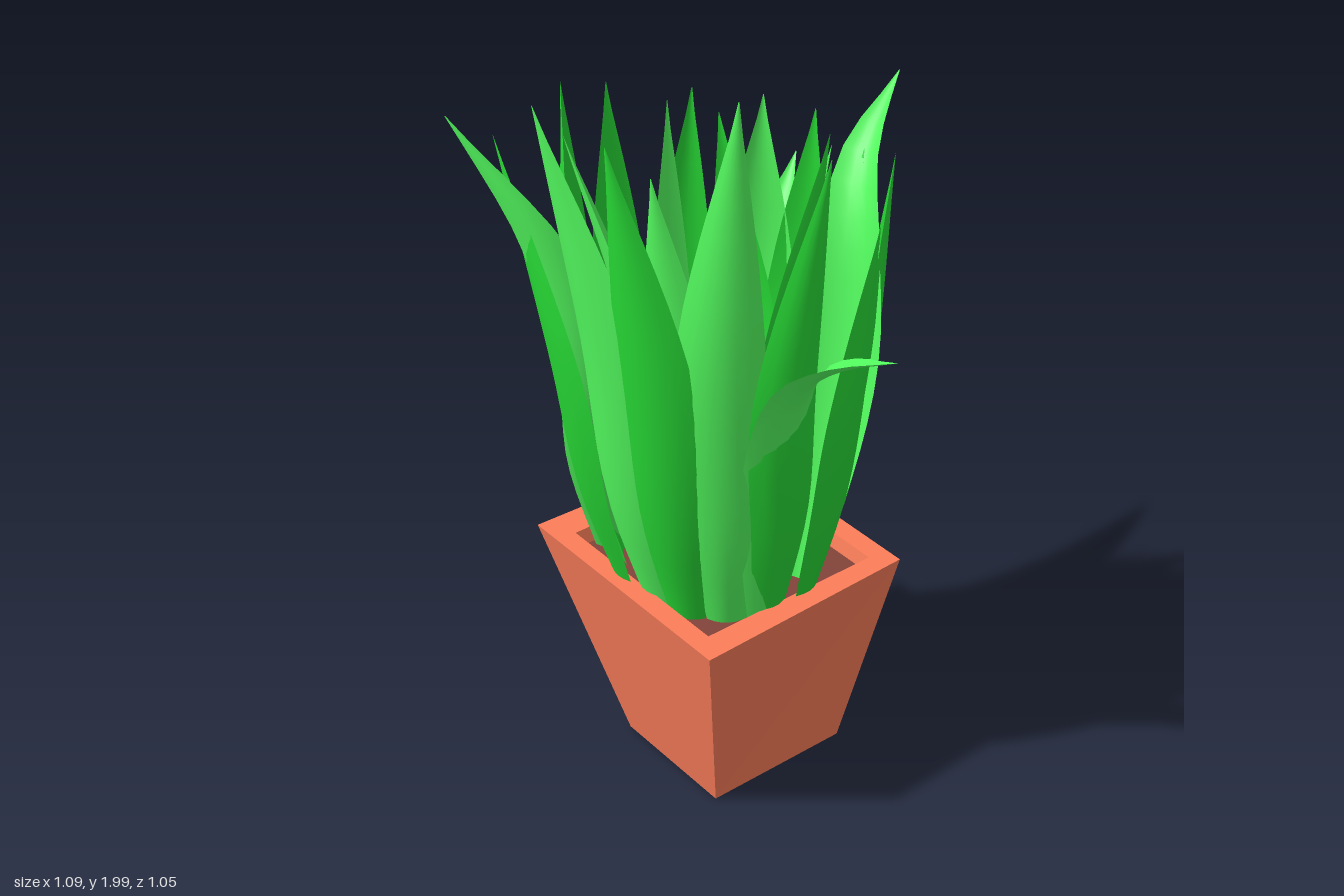
import * as THREE from 'three';

const terracotta = new THREE.MeshStandardMaterial({ color: 0xfc7e5a });
const soilBrown = new THREE.MeshStandardMaterial({ color: 0x82443a });
const greens = [0x27d835, 0x52fa5e].map(
  (color) => new THREE.MeshStandardMaterial({ color, side: THREE.DoubleSide }));

// Four corners of a level rectangle, counter-clockwise seen from above
const ring = (y, x0, x1, z0, z1, skew = 0) => [
  [x0, y, z1], [x1, y, z1], [x1 - skew, y, z0], [x0 + skew, y, z0],
];

// Flat quads between successive rings, with optional end caps
function loft(rings, capStart, capEnd) {
  const pos = [];
  const quad = (a, b, c, d) => pos.push(...a, ...b, ...c, ...a, ...c, ...d);
  for (let i = 0; i + 1 < rings.length; i++) {
    for (let k = 0; k < 4; k++) {
      const n = (k + 1) % 4;
      quad(rings[i][k], rings[i][n], rings[i + 1][n], rings[i + 1][k]);
    }
  }
  if (capStart) quad(...[...rings[0]].reverse());
  if (capEnd) quad(...rings[rings.length - 1]);
  const g = new THREE.BufferGeometry();
  g.setAttribute('position', new THREE.Float32BufferAttribute(pos, 3));
  g.computeVertexNormals();
  return g;
}

// Cupped blade swept along a path; (fx, fz) is the way its outer face looks
function leafGeometry(path, width, fx, fz) {
  const rows = 18, cols = 6, pos = [], idx = [];
  const curve = new THREE.CatmullRomCurve3(path.map((p) => new THREE.Vector3(...p)), false, 'centripetal');
  const out = new THREE.Vector3(fx, 0, fz).normalize();
  const across = new THREE.Vector3(out.z, 0, -out.x);
  for (let r = 0; r <= rows; r++) {
    const t = r / rows;
    const p = curve.getPointAt(t);
    const normal = new THREE.Vector3().crossVectors(curve.getTangentAt(t), across).normalize();
    if (normal.dot(out) < 0) normal.negate();
    // Half width: narrow foot, full belly, long pointed tip
    const belly = t < 0.45 ? 0.45 + 0.55 * Math.sin((t / 0.45) * Math.PI / 2)
      : Math.pow(Math.cos(((t - 0.45) / 0.55) * Math.PI / 2), 1.1);
    const h = Math.max(0.001, width * 0.5 * belly);
    for (let c = 0; c <= cols; c++) {
      const s = (c / cols) * 2 - 1;
      const v = p.clone().addScaledVector(across, s * h).addScaledVector(normal, -0.4 * h * s * s);
      pos.push(v.x, v.y, v.z);
    }
  }
  for (let r = 0; r < rows; r++) {
    for (let c = 0; c < cols; c++) {
      const a = r * (cols + 1) + c, b = a + cols + 1;
      idx.push(a, a + 1, b + 1, a, b + 1, b);
    }
  }
  const g = new THREE.BufferGeometry();
  g.setAttribute('position', new THREE.Float32BufferAttribute(pos, 3));
  g.setIndex(idx);
  g.computeVertexNormals();
  return g;
}

// Upright leaves: belly x, z; tip x, y, z; width; shade
const uprightLeaves = [
  // outer ring, going round from the right side through the front
  [-0.51, 0.08, -0.50, 1.80, 0.07, 0.20, 0],
  [-0.43, 0.26, -0.42, 1.88, 0.25, 0.25, 0],
  [-0.29, 0.40, -0.43, 1.80, 0.43, 0.22, 0],
  [-0.13, 0.38, -0.25, 1.94, 0.44, 0.23, 1],
  [0.01, 0.34, -0.07, 1.89, 0.38, 0.20, 0],
  [0.12, 0.22, 0.10, 1.99, 0.15, 0.22, 1],
  [0.19, 0.07, 0.17, 1.82, -0.05, 0.18, 0],
  [0.19, -0.13, 0.19, 1.62, -0.18, 0.20, 0],
  [0.09, -0.27, 0.10, 1.73, -0.30, 0.22, 0],
  [-0.08, -0.31, -0.04, 1.68, -0.33, 0.18, 1],
  [-0.21, -0.31, -0.18, 1.74, -0.30, 0.22, 0],
  [-0.35, -0.27, -0.30, 1.75, -0.24, 0.22, 1],
  [-0.42, -0.06, -0.42, 1.76, -0.12, 0.18, 0],
  // inner ring
  [-0.27, 0.20, -0.33, 1.80, 0.31, 0.20, 1],
  [-0.10, 0.20, -0.10, 1.76, 0.24, 0.20, 1],
  [0.03, 0.15, 0.04, 1.70, 0.16, 0.20, 0],
  [0.06, -0.05, 0.07, 1.82, -0.13, 0.22, 0],
  [-0.07, -0.16, -0.04, 1.72, -0.23, 0.20, 1],
  [-0.22, -0.14, -0.24, 1.78, -0.06, 0.20, 0],
  [-0.32, 0.06, -0.33, 1.80, 0.02, 0.16, 1],
];

// Bent leaves: path from foot to tip, width, facing x, z
const bentLeaves = [
  [[[-0.40, 0.56, 0.18], [-0.32, 0.88, 0.27], [-0.24, 1.25, 0.33], [-0.30, 1.56, 0.40],
    [-0.47, 1.86, 0.525]], 0.16, 0.8, 0.6],
  [[[0.09, 0.56, 0.07], [0.18, 1.14, 0.08], [0.25, 1.32, 0.085], [0.37, 1.43, 0.08],
    [0.54, 1.53, 0.08]], 0.18, 1, 0],
  [[[-0.38, 0.56, -0.18], [-0.44, 0.74, -0.25], [-0.40, 0.98, -0.26], [-0.42, 1.20, -0.34],
    [-0.52, 1.43, -0.525]], 0.20, -0.5, -0.85],
  [[[0.01, 0.56, -0.10], [0.05, 1.25, -0.22], [0.01, 1.52, -0.27], [-0.05, 1.67, -0.34],
    [-0.12, 1.80, -0.505]], 0.23, -0.25, -1],
];

export function createModel() {
  const model = new THREE.Group();
  const add = (name, geometry, material, parent = model) => {
    const mesh = new THREE.Mesh(geometry, material);
    mesh.name = name;
    parent.add(mesh);
  };

  // Square tapered pot with a rim and hollow mouth
  add('pot', loft([
    ring(0, -0.36, 0.01, -0.24, 0.17),
    ring(0.62, -0.545, 0.17, -0.315, 0.305, 0.02),
    ring(0.62, -0.455, 0.095, -0.26, 0.25),
    ring(0.56, -0.44, 0.08, -0.25, 0.235),
  ], true, false), terracotta);
  add('soil', loft([
    ring(0.54, -0.435, 0.075, -0.245, 0.23),
    ring(0.58, -0.445, 0.085, -0.252, 0.238),
  ], false, true), soilBrown);

  // Foliage
  const foliage = new THREE.Group();
  foliage.name = 'foliage';
  model.add(foliage);
  const cx = -0.17, cz = 0.03;
  for (const [mx, mz, tx, ty, tz, w, shade] of uprightLeaves) {
    const dx = mx - cx, dz = mz - cz;
    const path = [
      [cx + dx * 0.72, 0.56, cz + dz * 0.6],
      [cx + dx * 0.92, 0.88, cz + dz * 0.85],
      [mx, 0.56 + (ty - 0.56) * 0.56, mz],
      [tx, ty, tz],
    ];
    add('uprightLeaf', leafGeometry(path, w, dx, dz), greens[shade], foliage);
  }
  for (const [path, w, fx, fz] of bentLeaves) {
    add('bentLeaf', leafGeometry(path, w, fx, fz), greens[1], foliage);
  }
  return model;
}
